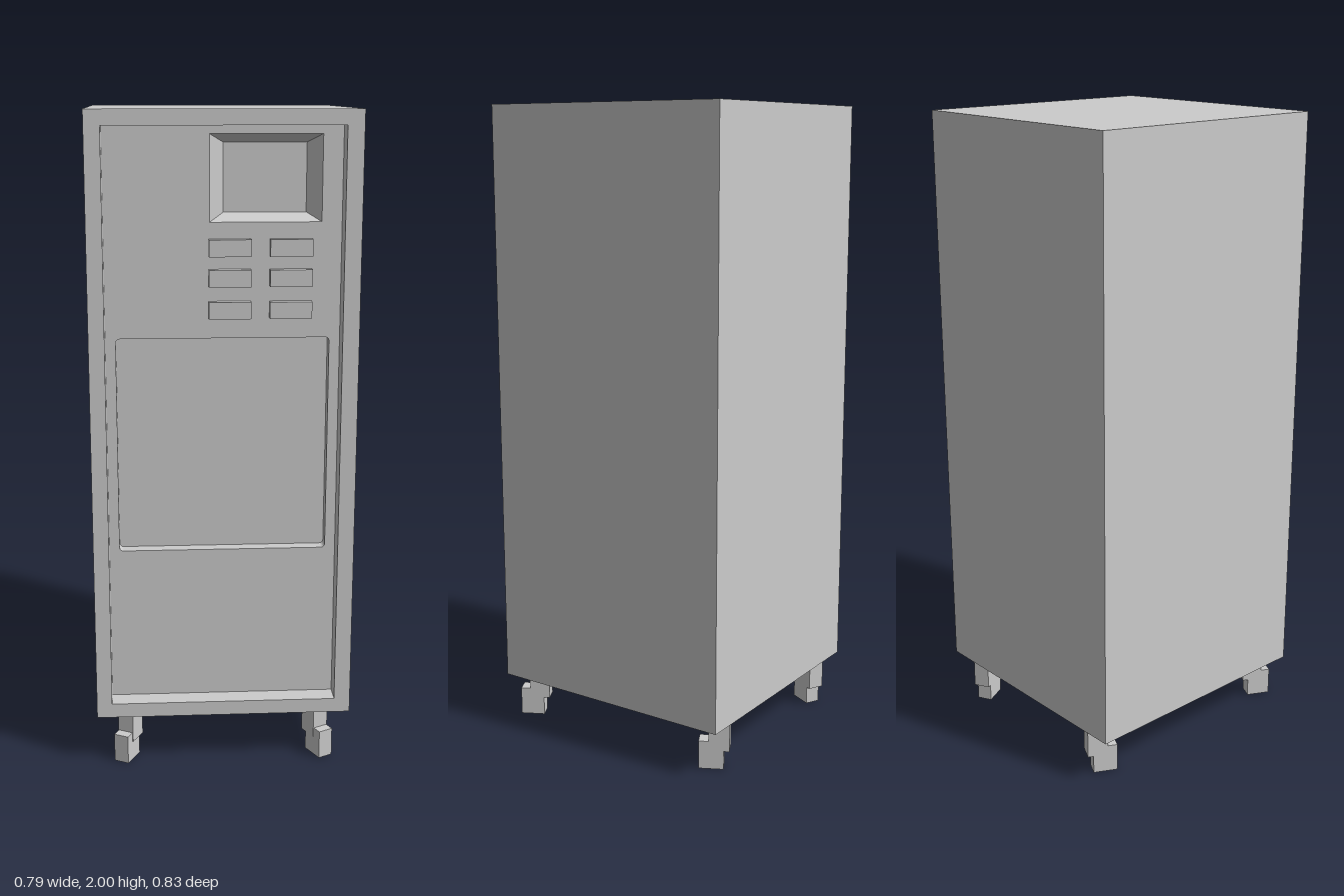
import * as THREE from 'three';

const material = new THREE.MeshStandardMaterial({ color: 0xcccccc, flatShading: true });

// Depths of the stepped front, from rear to front
const BACK = -0.415, FLOOR = 0.30, FASCIA = 0.34, FRONT = 0.405;

function add(parent, name, geometry, x = 0, y = 0, z = 0) {
  const mesh = new THREE.Mesh(geometry, material);
  mesh.name = name;
  mesh.position.set(x, y, z);
  parent.add(mesh);
  return mesh;
}

// Box given by its extents
function block(parent, name, x0, x1, y0, y1, z0, z1) {
  return add(parent, name, new THREE.BoxGeometry(x1 - x0, y1 - y0, z1 - z0),
    (x0 + x1) / 2, (y0 + y1) / 2, (z0 + z1) / 2);
}

// Rectangle outline, optionally with rounded corners
function rect(Type, [x0, x1, y0, y1], r = 0) {
  const p = new Type();
  if (r === 0) {
    p.moveTo(x0, y0).lineTo(x1, y0).lineTo(x1, y1).lineTo(x0, y1).closePath();
    return p;
  }
  p.absarc(x1 - r, y0 + r, r, -Math.PI / 2, 0);
  p.absarc(x1 - r, y1 - r, r, 0, Math.PI / 2);
  p.absarc(x0 + r, y1 - r, r, Math.PI / 2, Math.PI);
  p.absarc(x0 + r, y0 + r, r, Math.PI, Math.PI * 1.5);
  p.closePath();
  return p;
}

// Plate with cut-outs, extruded from z0 to z1
function plate(parent, name, outline, holes, z0, z1) {
  const shape = rect(THREE.Shape, outline);
  shape.holes.push(...holes);
  const geometry = new THREE.ExtrudeGeometry(shape, { depth: z1 - z0, bevelEnabled: false, curveSegments: 4 });
  return add(parent, name, geometry, 0, 0, z0);
}

// Four sloping walls from an outer rectangle back to a smaller inner one
function slopedWalls(outer, inner, zOuter, zInner) {
  const corners = ([x0, x1, y0, y1], z) => [x0, y0, z, x1, y0, z, x1, y1, z, x0, y1, z];
  const index = [];
  for (let i = 0; i < 4; i++) {
    const j = (i + 1) % 4;
    index.push(i, j, j + 4, i, j + 4, i + 4);
  }
  let geometry = new THREE.BufferGeometry();
  geometry.setAttribute('position', new THREE.Float32BufferAttribute(
    [...corners(outer, zOuter), ...corners(inner, zInner)], 3));
  geometry.setIndex(index);
  geometry = geometry.toNonIndexed();
  geometry.computeVertexNormals();
  return geometry;
}

// Swivelled caster: bracket under the cabinet with a block wheel ahead of it
function caster(parent, name, side, z) {
  const group = new THREE.Group();
  group.name = name;
  group.position.set(side * 0.293, 0, z);
  group.rotation.y = side * 0.48;
  add(group, 'casterBracket', new THREE.BoxGeometry(0.052, 0.097, 0.065), 0, 0.1085, 0);
  add(group, 'casterWheel', new THREE.BoxGeometry(0.048, 0.09, 0.077), 0, 0.045, 0.025);
  parent.add(group);
}

export function createModel() {
  const model = new THREE.Group();
  model.name = 'wheeledCabinet';

  const body = [-0.395, 0.395, 0.155, 2];
  const opening = [-0.348, 0.346, 0.2, 1.955];
  const lowerPanel = [-0.317, 0.315, 0.68, 1.34];
  const screenOuter = [-0.04, 0.287, 1.68, 1.93];
  const screenInner = [0.002, 0.245, 1.705, 1.905];

  // Cabinet, front rim and recessed fascia
  block(model, 'cabinet', ...body, BACK, FLOOR);
  plate(model, 'frontRim', body, [rect(THREE.Path, opening)], FLOOR, FRONT);
  plate(model, 'fascia', opening,
    [rect(THREE.Path, lowerPanel, 0.012), rect(THREE.Path, screenOuter)], FLOOR, FASCIA);

  // Sloping surround of the screen
  add(model, 'screenSurround', slopedWalls(screenOuter, screenInner, FASCIA, FLOOR));

  // Two columns of three buttons
  for (const x of [-0.043, 0.136]) {
    for (const y of [1.4, 1.494, 1.582]) {
      block(model, 'button', x, x + 0.124, y, y + 0.05, FASCIA, FASCIA + 0.025);
    }
  }

  // Casters, mirrored left to right
  for (const [sideName, side] of [['Left', 1], ['Right', -1]]) {
    caster(model, 'front' + sideName + 'Caster', side, 0.346);
    caster(model, 'rear' + sideName + 'Caster', side, -0.366);
  }

  return model;
}
